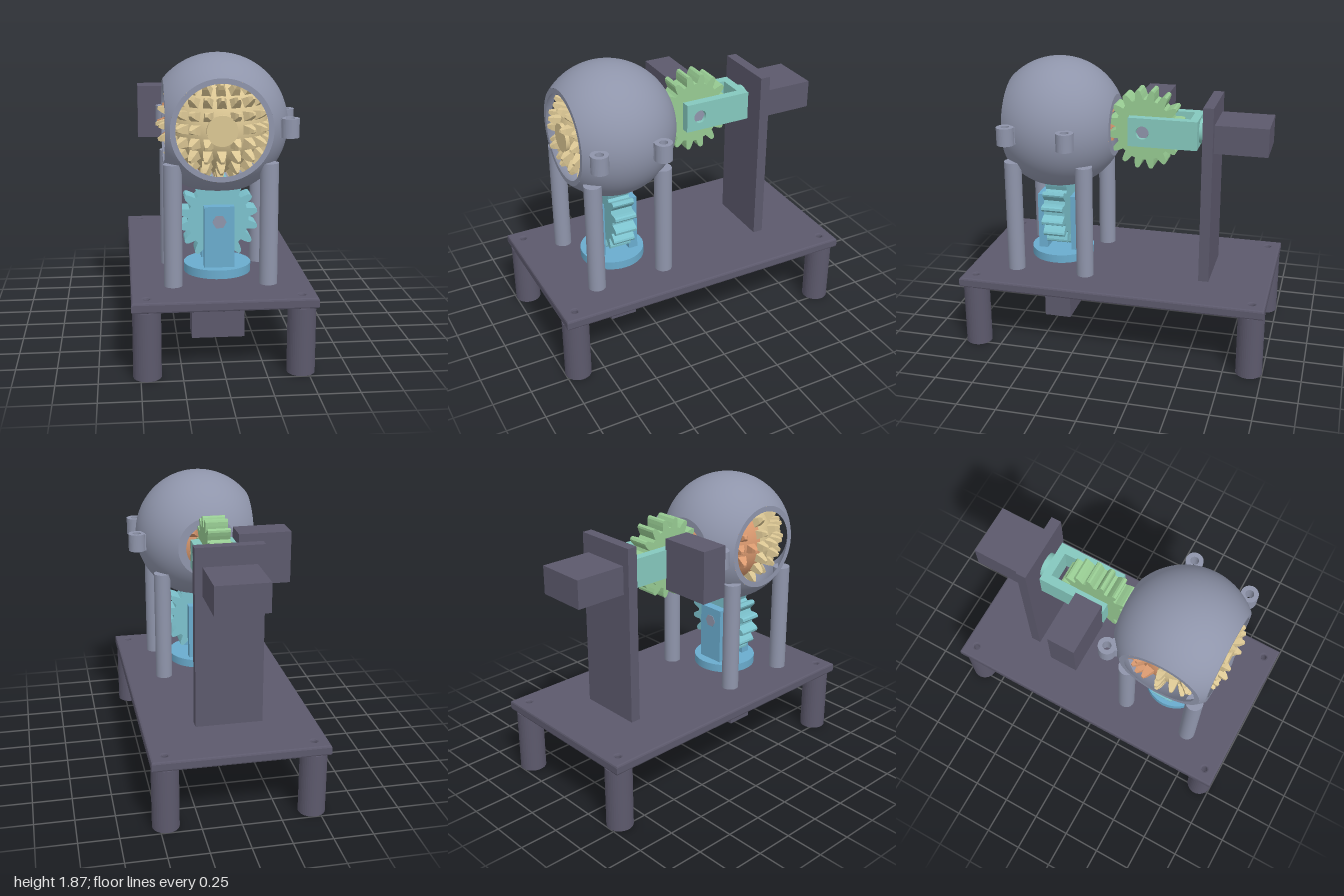
import * as THREE from 'three';
import { mergeGeometries } from 'three/addons/utils/BufferGeometryUtils.js';

export function createModel() {
  const group = new THREE.Group();
  const paint = (name, color, side = THREE.FrontSide) => {
    const m = new THREE.MeshStandardMaterial({ color, side });
    m.name = name;
    return m;
  };
  const dark = paint('dark slate', 0x5c596c);
  const grey = paint('blue grey', 0x8f95ab);
  const blue = paint('blue', 0x6aacce);
  const cyan = paint('cyan', 0x7cc2cd);
  const teal = paint('teal', 0x85c8be);
  const green = paint('green', 0x97cb92);
  const tan = paint('tan', 0xdcc794);
  const orange = paint('orange', 0xdb9a70);

  const add = (name, geo, mat, x = 0, y = 0, z = 0) => {
    const m = new THREE.Mesh(geo, mat);
    m.name = name;
    m.position.set(x, y, z);
    group.add(m);
    return m;
  };
  // box given by its minimum and maximum corners
  const box = (name, mat, x0, x1, y0, y1, z0, z1) =>
    add(name, new THREE.BoxGeometry(x1 - x0, y1 - y0, z1 - z0), mat,
      (x0 + x1) / 2, (y0 + y1) / 2, (z0 + z1) / 2);
  const circle = (x, y, r) => new THREE.Path().absarc(x, y, r, 0, Math.PI * 2, true);
  // upright tube, standing on y = 0
  const tube = (r, hole, h) => {
    const s = new THREE.Shape().absarc(0, 0, r, 0, Math.PI * 2, false);
    s.holes.push(circle(0, 0, hole));
    return new THREE.ExtrudeGeometry(s, { depth: h, bevelEnabled: false, curveSegments: 20 }).rotateX(-Math.PI / 2);
  };

  const C = new THREE.Vector3(0, 1.44, 0.45); // centre of the ball joint
  const signs = [-1, 1];
  const corners = signs.flatMap(a => signs.map(b => [a, b]));

  // base plate with bolt holes, legs and pillars
  const w = 0.538, l = 0.988;
  const plate = new THREE.Shape([[-w, -l], [w, -l], [w, l], [-w, l]].map(p => new THREE.Vector2(...p)));
  for (const [a, b] of corners) {
    plate.holes.push(circle(a * 0.46, b * 0.915, 0.03));
    plate.holes.push(circle(a * 0.29, -C.z + b * 0.238, 0.042));
    add('leg', tube(0.085, 0.026, 0.42), dark, a * 0.46, 0, b * 0.915);
    add('pillar', new THREE.CylinderGeometry(0.056, 0.056, 0.755, 28), grey, a * 0.29, 0.8575, C.z + b * 0.238);
  }
  add('basePlate', new THREE.ExtrudeGeometry(plate, {
    depth: 0.041, bevelThickness: 0.012, bevelSize: 0.012, bevelSegments: 2, curveSegments: 16,
  }).rotateX(-Math.PI / 2), dark, 0, 0.432, 0);

  // motors and the upright that carries the rear one
  box('lowerMotor', dark, -0.167, 0.167, 0.08, 0.43, 0.36, 0.54);
  box('upright', dark, -0.215, 0.215, 0.48, 1.65, -0.6, -0.533);
  box('rearMotor', dark, -0.167, 0.167, 1.347, 1.53, -0.94, -0.595);
  box('sideMotor', dark, -0.475, -0.135, 1.27, 1.608, -0.23, -0.05);

  // spherical housing: a shell cut by four planes [axis, distance]
  const cuts = [
    [new THREE.Vector3(0, 0, 1), 0.302],
    [new THREE.Vector3(0, 0, -1), 0.38],
    [new THREE.Vector3(0, -1, 0), 0.38],
    [new THREE.Vector3(-1, 0, 0), 0.332],
  ];
  const cutSphere = (R, inward) => {
    const g = new THREE.SphereGeometry(1, 112, 72);
    const p = g.attributes.position, n = g.attributes.normal, idx = g.index;
    const inside = [], v = new THREE.Vector3(), side = new THREE.Vector3();
    for (let i = 0; i < p.count; i++) {
      v.fromBufferAttribute(p, i);
      inside[i] = -1;
      cuts.forEach(([axis, d], k) => {
        const c = d / R, dot = v.dot(axis);
        if (dot <= c) return;
        inside[i] = k; // slide the point onto the rim
        side.copy(v).addScaledVector(axis, -dot).normalize();
        v.copy(axis).multiplyScalar(c).addScaledVector(side, Math.sqrt(1 - c * c));
      });
      const s = inward ? -1 : 1;
      n.setXYZ(i, v.x * s, v.y * s, v.z * s);
      p.setXYZ(i, v.x * R, v.y * R, v.z * R);
    }
    const keep = [];
    for (let t = 0; t < idx.count; t += 3) {
      const [a, b, c] = [idx.getX(t), idx.getX(t + 1), idx.getX(t + 2)];
      if (inside[a] >= 0 && inside[b] >= 0 && inside[c] >= 0) continue;
      keep.push(a, ...(inward ? [c, b] : [b, c]));
    }
    g.setIndex(keep);
    return g;
  };
  const R = 0.43, r = 0.408;
  add('housingOutside', cutSphere(R, false), grey, ...C);
  add('housingInside', cutSphere(r, true), grey, ...C);
  for (const [axis, d] of cuts) {
    const rim = add('housingRim', new THREE.RingGeometry(Math.sqrt(r * r - d * d), Math.sqrt(R * R - d * d), 72), grey);
    rim.position.copy(C).addScaledVector(axis, d);
    rim.quaternion.setFromUnitVectors(new THREE.Vector3(0, 0, 1), axis);
  }

  // bolt lugs on the housing, each with a web to the shell
  for (const [x, z] of [[0.445, 0.285], [0.41, 0.685], [-0.307, 0.08]]) {
    add('lug', tube(0.056, 0.027, 0.115), grey, x, 1.385, z);
    const out = new THREE.Vector3(x, 0, z - C.z);
    const len = out.length();
    out.normalize();
    const reach = len - 0.03 - 0.415;
    if (reach > 0) {
      const web = add('lugWeb', new THREE.BoxGeometry(0.08, 0.113, reach), grey);
      web.position.copy(C).addScaledVector(out, 0.415 + reach / 2);
      web.rotation.y = Math.atan2(out.x, out.z);
    }
  }

  // toothed ball: tapered teeth on a 15 degree lattice, front and back halves
  const teeth = { front: [], back: [] };
  const step = Math.PI / 12, core = 0.305;
  const X = new THREE.Vector3(), Y = new THREE.Vector3(), D = new THREE.Vector3();
  for (let i = -6; i <= 6; i++) for (let j = -6; j <= 6; j++) {
    const dx = Math.sin(i * step), dy = Math.sin(j * step), zz = 1 - dx * dx - dy * dy;
    if (zz < -1e-6) continue;
    for (const s of zz < 1e-6 ? [1] : signs) {
      if (s > 0 && i * i + j * j <= 1) continue; // room for the output seat
      D.set(dx, dy, s * Math.sqrt(Math.max(zz, 0))).normalize();
      Y.set(0, 1, 0);
      if (Math.abs(D.y) > 0.99) Y.set(0, 0, 1);
      X.crossVectors(Y, D).normalize();
      Y.crossVectors(D, X);
      // square frustum pointing outwards with a small rounded tip
      const tooth = mergeGeometries([
        new THREE.CylinderGeometry(0.027, 0.043, 0.055, 4, 1, true).translate(0, core + 0.017, 0),
        new THREE.CylinderGeometry(0.012, 0.027, 0.027, 4).translate(0, core + 0.058, 0),
      ]).rotateY(Math.PI / 4).toNonIndexed();
      tooth.computeVertexNormals();
      tooth.applyMatrix4(new THREE.Matrix4().makeBasis(Y, D, X));
      teeth[s > 0 ? 'front' : 'back'].push(tooth);
    }
  }
  const half = () => new THREE.SphereGeometry(core, 48, 20, 0, Math.PI * 2, 0, Math.PI / 2);
  add('ballFront', half().rotateX(Math.PI / 2), tan, ...C);
  add('ballBack', half().rotateX(-Math.PI / 2), orange, ...C);
  add('ballFrontTeeth', mergeGeometries(teeth.front), tan, ...C);
  add('ballBackTeeth', mergeGeometries(teeth.back), orange, ...C);
  add('outputSeat', new THREE.CylinderGeometry(0.092, 0.092, 0.05, 36).rotateX(Math.PI / 2), tan, 0, C.y, C.z + 0.29);

  // sixteen-tooth drive gear about z, with a gap facing the ball
  const gear = (width) => {
    const pts = [], pitch = Math.PI / 8;
    for (let k = 0; k < 16; k++) {
      for (const [rad, off] of [[0.2, -0.36], [0.228, -0.26], [0.252, -0.17], [0.262, -0.08],
        [0.262, 0.08], [0.252, 0.17], [0.228, 0.26], [0.2, 0.36]]) {
        const a = (k + 0.5 + off) * pitch;
        pts.push(new THREE.Vector2(Math.cos(a) * rad * 0.94, Math.sin(a) * rad));
      }
    }
    return new THREE.ExtrudeGeometry(new THREE.Shape(pts), { depth: width, bevelEnabled: false })
      .translate(0, 0, -width / 2);
  };
  const hexAxle = (length) => new THREE.CylinderGeometry(0.044, 0.044, length, 6)
    .rotateY(Math.PI / 6).rotateX(Math.PI / 2);
  const hub = (length) => new THREE.CylinderGeometry(0.06, 0.06, length, 28).rotateX(Math.PI / 2);

  // lower drive: turntable, fork and gear
  const lowY = 0.85;
  add('turntableHub', new THREE.CylinderGeometry(0.078, 0.078, 0.04, 32), blue, 0, 0.495, C.z);
  add('turntable', new THREE.CylinderGeometry(0.21, 0.21, 0.055, 48), blue, 0, 0.533, C.z);
  for (const s of signs) {
    const z = C.z + s * 0.114;
    box('lowerForkArm', blue, -0.093, 0.093, 0.555, 0.945, z - 0.03, z + 0.03);
  }
  add('lowerGearHub', hub(0.17), blue, 0, lowY, C.z).scale.setScalar(0.6).setZ(1);
  add('lowerGear', gear(0.145), cyan, 0, lowY, C.z);
  add('lowerAxle', hexAxle(0.296), grey, 0, lowY, C.z);

  // rear drive: yoke on a hub, and gear
  const backZ = -0.134;
  add('yokeHub', new THREE.CylinderGeometry(0.08, 0.08, 0.04, 32).rotateX(Math.PI / 2), teal, 0, C.y, -0.506);
  add('yokeShaft', new THREE.CylinderGeometry(0.05, 0.05, 0.03, 24).rotateX(Math.PI / 2), teal, 0, C.y, -0.525);
  box('yokeBack', teal, -0.14, 0.14, 1.347, 1.535, -0.488, -0.435);
  // arms are pierced for the axle
  const arm = new THREE.Shape([[0.04, -0.093], [0.436, -0.093], [0.436, 0.095], [0.04, 0.095]]
    .map(p => new THREE.Vector2(...p)));
  arm.holes.push(circle(-backZ, 0, 0.043));
  for (const s of signs) {
    const geo = new THREE.ExtrudeGeometry(arm, { depth: 0.057, bevelEnabled: false, curveSegments: 16 })
      .translate(0, 0, -0.0285).rotateY(Math.PI / 2);
    add('yokeArm', geo, teal, s * 0.1115, C.y, 0);
  }
  add('rearGear', gear(0.145).rotateY(Math.PI / 2), green, 0, C.y, backZ);
  add('rearAxle', hexAxle(0.24).rotateY(Math.PI / 2), grey, 0, C.y, backZ);

  return group;
}
